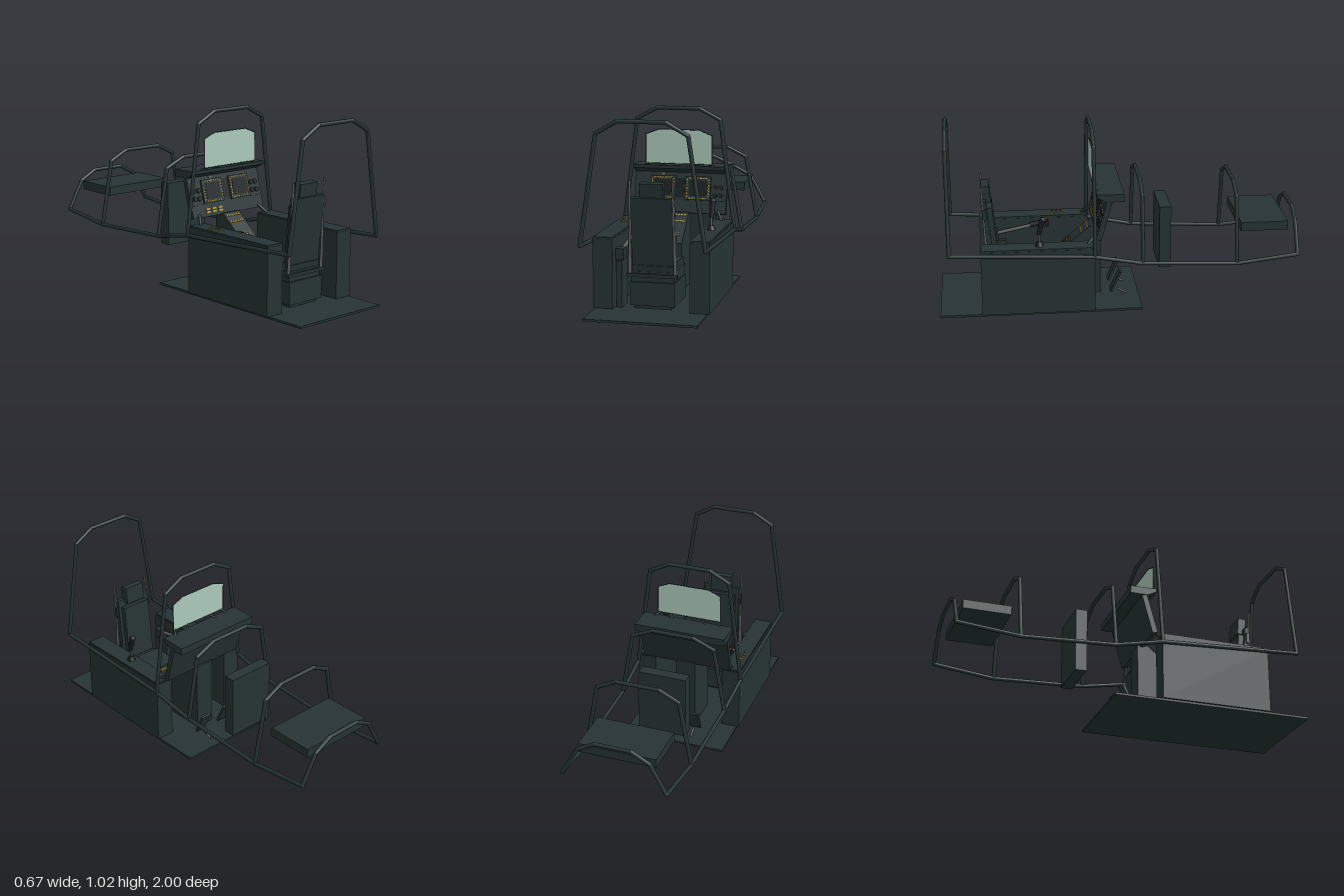
import * as THREE from 'three';

const mat = (name, color, extra = {}) =>
  Object.assign(new THREE.MeshStandardMaterial({ color, ...extra }), { name });

export function createModel() {
  const body = mat('dark slate', 0x263334);
  const black = mat('near black', 0x161c1d);
  const grey = mat('metal grey', 0x5e6062);
  const yellow = mat('label yellow', 0xb8952c);
  const glass = mat('pale green glass', 0xaccabb, { side: THREE.DoubleSide });

  const model = new THREE.Group();
  const add = (parent, name, geo, m, x = 0, y = 0, z = 0) => {
    const mesh = new THREE.Mesh(geo, m);
    mesh.name = name;
    mesh.position.set(x, y, z);
    parent.add(mesh);
    return mesh;
  };
  const group = (name, parent = model) => {
    const g = new THREE.Group();
    g.name = name;
    parent.add(g);
    return g;
  };
  // Box from its lowest and highest corners
  const box = (parent, name, m, a, b) =>
    add(parent, name, new THREE.BoxGeometry(b[0] - a[0], b[1] - a[1], b[2] - a[2]), m,
      (a[0] + b[0]) / 2, (a[1] + b[1]) / 2, (a[2] + b[2]) / 2);
  // Round bar between two points
  const bar = (parent, name, m, a, b, r, r2 = r) => {
    const p = new THREE.Vector3(...a), q = new THREE.Vector3(...b), d = q.clone().sub(p);
    const mesh = add(parent, name, new THREE.CylinderGeometry(r2, r, d.length(), 10), m);
    mesh.position.copy(p).add(q).multiplyScalar(0.5);
    mesh.quaternion.setFromUnitVectors(new THREE.Vector3(0, 1, 0), d.normalize());
    return mesh;
  };
  const pipe = (name, pts, r) => {
    const g = group(name);
    pts.forEach((p, i) => {
      add(g, name + 'Joint', new THREE.SphereGeometry(r, 10, 8), body, ...p);
      if (i) bar(g, name + 'Bar', body, pts[i - 1], p, r);
    });
  };

  // Floor and side consoles
  box(model, 'floor', body, [-0.298, 0, -0.12], [0.298, 0.012, 1]);
  for (const s of [-1, 1]) {
    const g = group(s < 0 ? 'rightConsole' : 'leftConsole');
    const c = s * 0.257;
    box(g, 'consoleBody', body, [c - 0.053, 0.012, 0.145], [c + 0.053, 0.38, 0.77]);
    box(g, 'consoleTop', body, [c - 0.051, 0.38, 0.15], [c + 0.051, 0.39, 0.768]);
  }

  // Canopy hoops: z, base x, base y, shoulder x, shoulder y, top x, top y
  const hoops = [
    [0.94, 0.325, 0.375, 0.237, 0.95, 0.125, 1.014],
    [0.145, 0.315, 0.335, 0.234, 0.94, 0.12, 1.0],
    [-0.12, 0.305, 0.283, 0.24, 0.66, 0.12, 0.712],
    [-0.645, 0.3, 0.258, 0.23, 0.63, 0.12, 0.684],
    [-0.988, 0.29, 0.295, 0.2, 0.46, 0.1, 0.514],
  ];
  for (const [z, bx, by, sx, sy, tx, ty] of hoops)
    pipe('canopyHoop', [[-bx, by, z], [-sx, sy, z], [-tx, ty, z], [tx, ty, z], [sx, sy, z], [bx, by, z]], 0.011);
  for (const s of [-1, 1])
    pipe('sideRail', hoops.map(([z, bx, by]) => [s * bx, by, z]), 0.011);

  // Equipment boxes in the nose
  box(model, 'noseBox', body, [-0.218, 0.415, -0.945], [0.215, 0.465, -0.68]);
  box(model, 'avionicsBox', body, [-0.14, 0.183, -0.297], [0.137, 0.545, -0.232]);

  // Seat, with the back leaning away from the panel
  const seat = group('seat');
  box(seat, 'seatBase', body, [-0.12, 0.03, 0.49], [0.12, 0.155, 0.74]);
  box(seat, 'seatPlinth', body, [-0.1, 0.012, 0.51], [0.1, 0.03, 0.72]);
  box(seat, 'seatPan', body, [-0.115, 0.155, 0.48], [0.115, 0.21, 0.73]);
  box(seat, 'seatCushion', body, [-0.1, 0.21, 0.455], [0.1, 0.24, 0.64]);
  box(seat, 'pullHandle', yellow, [-0.03, 0.215, 0.446], [0.03, 0.225, 0.455]);
  box(seat, 'lowerCrossbar', body, [-0.135, 0.182, 0.725], [0.135, 0.2, 0.745]);
  const back = group('backrest', seat);
  back.position.set(0, 0.19, 0.69);
  back.rotation.x = 0.1;
  box(back, 'backShell', body, [-0.11, 0, 0], [0.11, 0.415, 0.028]);
  box(back, 'backCushion', body, [-0.09, 0.04, -0.03], [0.09, 0.37, 0]);
  box(back, 'backLowerPlate', body, [-0.11, 0, 0.028], [0.11, 0.055, 0.034]);
  box(back, 'headrest', body, [-0.062, 0.39, -0.027], [0.062, 0.488, 0.018]);
  for (const s of [-1, 1]) {
    bar(seat, 'seatRail', grey, [s * 0.118, 0.185, 0.732], [s * 0.114, 0.69, 0.755], 0.006);
    bar(seat, 'railSleeve', grey, [s * 0.122, 0.185, 0.732], [s * 0.118, 0.42, 0.742], 0.009, 0.007);
    box(seat, 'railBracket', body, [s * 0.112 - 0.01, 0.5, 0.73], [s * 0.112 + 0.01, 0.56, 0.75]);
  }

  // Instrument panel, tilted so its top leans forward
  const panel = group('instrumentPanel');
  panel.position.set(0, 0.525, 0.105);
  panel.rotation.x = -0.266;
  box(panel, 'panelBoard', body, [-0.262, -0.114, -0.03], [0.262, 0.114, 0]);
  for (const s of [-1, 1]) {
    const d = group('display', panel);
    d.position.set(s * 0.1, 0.025, 0);
    box(d, 'displayBezel', body, [-0.072, -0.066, 0], [0.072, 0.066, 0.01]);
    box(d, 'displayScreen', black, [-0.05, -0.045, 0.01], [0.05, 0.045, 0.012]);
    // Yellow key outlines around each screen
    for (let i = 0; i < 7; i++) {
      const t = (i - 3) * 0.0155;
      for (const e of [-1, 1]) {
        box(d, 'displayKey', yellow, [t - 0.005, e * 0.056 - 0.003, 0.01], [t + 0.005, e * 0.056 + 0.003, 0.013]);
        box(d, 'displayKey', yellow, [e * 0.062 - 0.003, t - 0.004, 0.01], [e * 0.062 + 0.003, t + 0.004, 0.013]);
      }
    }
    // Dials and switch rows at the outer edge
    for (let r = 0; r < 2; r++)
      for (let i = 0; i < 2; i++) {
        const k = add(panel, 'dial', new THREE.CylinderGeometry(0.014, 0.014, 0.008, 14), black,
          s * (0.195 + i * 0.033), 0.035 - r * 0.045, 0.003);
        k.rotation.x = Math.PI / 2;
      }
    box(panel, 'switchStrip', black, [s * 0.212 - 0.035, -0.046, 0], [s * 0.212 + 0.035, -0.041, 0.006]);
  }
  box(panel, 'centreStrip', black, [-0.022, -0.03, 0], [0.022, 0.08, 0.004]);
  for (const x of [-0.15, -0.105, -0.06])
    for (const y of [-0.09, -0.073])
      box(panel, 'switchLabel', yellow, [x - 0.014, y - 0.005, 0], [x + 0.014, y + 0.005, 0.004]);
  box(panel, 'greyLatch', grey, [-0.11, 0.096, 0], [-0.09, 0.106, 0.006]);

  // Glareshield: side profile (z, y) swept across the width
  const sweep = (name, pts, w, m = body) => {
    const geo = new THREE.ExtrudeGeometry(
      new THREE.Shape(pts.map(([z, y]) => new THREE.Vector2(-z, y))), { depth: w, bevelEnabled: false });
    geo.rotateY(Math.PI / 2).translate(-w / 2, 0, 0);
    return add(model, name, geo, m);
  };
  sweep('glareshield', [[0.13, 0.66], [0.13, 0.678], [-0.02, 0.675], [-0.02, 0.633], [0.08, 0.633]], 0.53);
  sweep('pedestal', [[0.32, 0.012], [0.32, 0.28], [0.15, 0.42], [0.09, 0.42], [0.09, 0.012]], 0.116);

  // Controls on the sloping pedestal top
  const keys = group('pedestalControls');
  keys.position.set(0, 0.35, 0.235);
  keys.rotation.x = Math.atan2(0.14, 0.17);
  for (let i = 0; i < 6; i++)
    for (const z of [-0.095, -0.05])
      box(keys, 'pedestalKey', yellow, [-0.05 + i * 0.017, 0, z], [-0.039 + i * 0.017, 0.004, z + 0.011]);
  box(keys, 'keypadFrame', grey, [-0.03, 0, 0.035], [0.03, 0.003, 0.09]);
  box(keys, 'keypad', black, [-0.026, 0.002, 0.039], [0.026, 0.005, 0.086]);
  for (let i = 0; i < 3; i++)
    box(keys, 'keypadKey', yellow, [-0.02 + i * 0.016, 0.004, 0.05], [-0.012 + i * 0.016, 0.007, 0.058]);

  // Head-up glass with clipped corners
  const outline = [[-0.188, 0.69], [0.186, 0.69], [0.186, 0.852], [0.115, 0.881], [-0.115, 0.881], [-0.188, 0.852]];
  add(model, 'headUpGlass', new THREE.ShapeGeometry(
    new THREE.Shape(outline.map((p) => new THREE.Vector2(...p)))), glass, 0, 0, 0.14);
  outline.forEach((p, i) => {
    const q = outline[(i + 1) % outline.length];
    bar(model, 'glassFrame', i % 3 === 2 && i > 2 ? grey : body, [...p, 0.14], [...q, 0.14], 0.0025);
  });
  for (const s of [-1, 1]) {
    bar(model, 'glassMount', body, [s * 0.17, 0.692, 0.138], [s * 0.2, 0.672, 0.11], 0.006);
    bar(model, 'glassMount', body, [s * 0.08, 0.692, 0.138], [s * 0.11, 0.672, 0.11], 0.006);
    bar(model, 'panelStrut', body, [s * 0.22, 0.43, 0.135], [s * 0.25, 0.385, 0.18], 0.009);

    // Foot pedals
    const pedal = group('footPedal');
    pedal.position.set(s * 0.082, 0.092, 0.012);
    pedal.rotation.x = -0.42;
    box(pedal, 'pedalPlate', body, [-0.032, -0.065, -0.006], [0.032, 0.065, 0.006]);
    bar(model, 'pedalArm', grey, [s * 0.082, 0.04, 0.0], [s * 0.082, 0.014, -0.05], 0.006);
  }

  // Side stick
  const stick = group('sideStick');
  add(stick, 'stickBoot', new THREE.CylinderGeometry(0.012, 0.024, 0.025, 14), black, 0.25, 0.402, 0.447);
  bar(stick, 'stickShaft', grey, [0.25, 0.41, 0.447], [0.25, 0.47, 0.447], 0.006);
  bar(stick, 'stickGrip', black, [0.25, 0.455, 0.45], [0.253, 0.54, 0.428], 0.012, 0.016);
  add(stick, 'stickHead', new THREE.SphereGeometry(0.018, 12, 8), black, 0.253, 0.54, 0.427);
  bar(stick, 'stickTrigger', grey, [0.252, 0.505, 0.42], [0.252, 0.525, 0.405], 0.004);

  // Lever beside the seat
  const lever = group('collectiveLever');
  box(lever, 'leverPost', body, [-0.195, 0.012, 0.62], [-0.165, 0.26, 0.73]);
  box(lever, 'leverHousing', body, [-0.202, 0.265, 0.665], [-0.158, 0.322, 0.72]);
  box(lever, 'leverPivot', black, [-0.19, 0.255, 0.67], [-0.17, 0.27, 0.715]);
  bar(lever, 'leverTube', grey, [-0.18, 0.305, 0.67], [-0.176, 0.355, 0.43], 0.01);
  bar(lever, 'leverGrip', black, [-0.177, 0.348, 0.48], [-0.175, 0.362, 0.4], 0.015);
  box(lever, 'leverHead', black, [-0.203, 0.345, 0.375], [-0.148, 0.376, 0.415]);

  // Console switches
  for (let i = 0; i < 3; i++) {
    const z = 0.28 + i * 0.026;
    box(model, 'consoleLabel', yellow, [-0.282, 0.39, z], [-0.262, 0.394, z + 0.008]);
    box(model, 'consoleLabel', yellow, [-0.242, 0.39, z + 0.02], [-0.23, 0.394, z + 0.027]);
    bar(model, 'consoleToggle', grey, [-0.272, 0.39, z + 0.016], [-0.272, 0.404, z + 0.016], 0.003);
  }
  for (const [x, z] of [[-0.2, 0.37], [-0.17, 0.374]])
    box(model, 'leverLabel', yellow, [x - 0.004, 0.376, z + 0.01], [x + 0.01, 0.379, z + 0.02]);

  return model;
}
